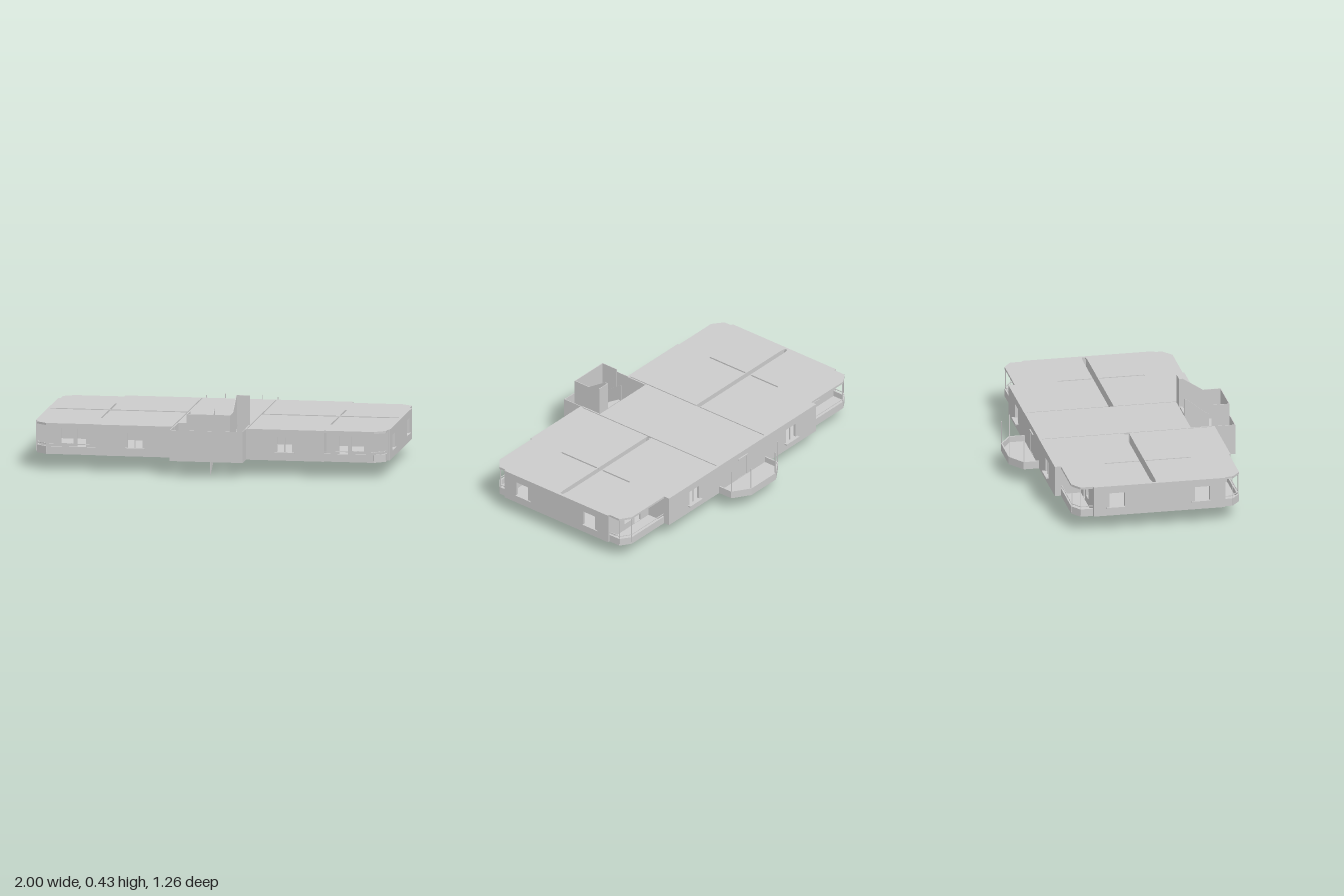
import * as THREE from 'three';

const mat = new THREE.MeshStandardMaterial({ color: 0xcccccc, flatShading: true, side: THREE.DoubleSide });
const Y0 = 0.087, Y1 = 0.26, RAIL = 0.13;

export function createModel() {
  const root = new THREE.Group();
  const add = (name, geo) => {
    const m = new THREE.Mesh(geo, mat);
    m.name = name;
    root.add(m);
    return m;
  };
  const poly = pts => new THREE.Shape(pts.map(p => new THREE.Vector2(p[0], p[1])));

  const box = (name, x0, x1, y0, y1, z0, z1) =>
    add(name, new THREE.BoxGeometry(Math.abs(x1 - x0), y1 - y0, Math.abs(z1 - z0)))
      .position.set((x0 + x1) / 2, (y0 + y1) / 2, (z0 + z1) / 2);

  // Horizontal slab from an (x, z) outline
  const slab = (name, pts, top, t = 0.01) => {
    const g = new THREE.ExtrudeGeometry(poly(pts), { depth: t, bevelEnabled: false });
    g.rotateX(Math.PI / 2);
    add(name, g).position.y = top;
  };

  // Upright wall centred on segment a-b; holes are [from, to, bottom, top] measured from a
  const wall = (name, a, b, y0, y1, t = 0.01, holes = []) => {
    const dx = b[0] - a[0], dz = b[1] - a[1], len = Math.hypot(dx, dz);
    const s = poly([[0, y0], [len, y0], [len, y1], [0, y1]]);
    for (const [l, r, u, v] of holes) s.holes.push(new THREE.Path(poly([[l, u], [l, v], [r, v], [r, u]]).getPoints()));
    const g = new THREE.ExtrudeGeometry(s, { depth: t, bevelEnabled: false });
    g.translate(0, 0, -t / 2);
    const m = add(name, g);
    m.position.set(a[0], 0, a[1]);
    m.rotation.y = -Math.atan2(dz, dx);
  };

  // Thin upright panel across x from a (z, y) outline
  const sidePanel = (name, x, pts, t = 0.004) => {
    const g = new THREE.ExtrudeGeometry(poly(pts), { depth: t, bevelEnabled: false });
    g.rotateY(-Math.PI / 2);
    add(name, g).position.x = x + t / 2;
  };

  // Floor and roof plates, one per room, with slots between them
  for (const [name, top] of [['floor', Y0 + 0.01], ['roof', Y1]]) {
    slab(name + 'Centre', [[-0.205, -0.472], [0.205, -0.472], [0.205, 0.38], [-0.205, 0.38]], top);
    for (const s of [-1, 1]) {
      const plate = (n, pts) => slab(name + n, pts.map(([x, z]) => [s * x, z]), top);
      plate('BackMiddle', [[0.211, -0.478], [0.64, -0.478], [0.64, 0], [0.211, 0]]);
      plate('FrontMiddle', [[0.211, 0.028], [0.64, 0.028], [0.64, 0.514], [0.211, 0.514]]);
      plate('BackEnd', [[0.64, -0.443], [0.92, -0.443], [0.98, -0.4], [0.98, -0.33], [0.992, -0.33],
        [0.992, 0.008], [0.94, 0], [0.65, 0], [0.65, -0.2], [0.64, -0.2]]);
      plate('FrontEnd', [[0.64, 0.505], [0.92, 0.505], [0.98, 0.455], [0.98, 0.41], [0.992, 0.41],
        [0.992, 0.022], [0.94, 0.028], [0.65, 0.028], [0.65, 0.29], [0.64, 0.29]]);
    }
  }

  const W0 = 0.135, W1 = 0.218;
  for (const s of [-1, 1]) {
    const P = (x, z) => [s * x, z];

    // Long facades with one window each and a sill below
    for (const [f, z, zi, dir] of [['front', 0.506, 0.41, 1], ['back', -0.47, -0.325, -1]]) {
      wall(f + 'Wall', P(0.205, z), P(0.64, z), Y0, Y1, 0.016, [[0.172, 0.257, W0, W1]]);
      box(f + 'Sill', s * 0.365, s * 0.475, 0.128, W0, z, z + dir * 0.025);
      box(f + 'WindowBar', s * 0.417, s * 0.423, W0, W1, z - 0.003, z + 0.003);
      wall(f + 'BalconySideWall', P(0.635, zi), P(0.635, z), Y0, Y1);

      // Corner balcony: recessed wall, chamfered parapet, fascia and thin posts
      wall(f + 'BalconyInnerWall', P(0.64, zi), P(0.985, zi), Y0, Y1, 0.012,
        [[0.07, 0.12, 0.1, W1], [0.14, 0.21, W0, W1]]);
      const ze = dir > 0 ? 0.5 : -0.438;
      const path = [P(0.64, ze), P(0.918, ze), P(0.975, dir > 0 ? 0.455 : -0.4), P(0.975, zi)];
      for (let i = 0; i < 3; i++) {
        wall(f + 'BalconyParapet', path[i], path[i + 1], Y0, RAIL);
        wall(f + 'BalconyFascia', path[i], path[i + 1], 0.248, Y1);
        wall(f + 'BalconyRail', path[i], path[i + 1], 0.142, 0.146, 0.004);
      }
      for (const [x, zz] of path.slice(1, 3))
        box(f + 'BalconyPost', x - 0.002, x + 0.002, RAIL, Y1, zz - 0.002, zz + 0.002);
    }

    // End wall with two windows
    wall('endWall', P(0.985, -0.33), P(0.985, 0.41), Y0, Y1, 0.016,
      [[0.09, 0.175, W0, W1], [0.57, 0.655, W0, W1]]);
    for (const z of [-0.205, 0.275]) box('endSill', s * 0.985, s, 0.128, W0, z - 0.052, z + 0.052);

    // Party walls beside the long slot
    for (const z of [-0.004, 0.032]) wall('partyWall', P(0.213, z), P(0.978, z), Y0, Y1, 0.006);
    // Cross walls broken by doorways
    for (const x of [0.2, 0.215, 0.635]) {
      for (const [a, b] of [[-0.465, -0.23], [-0.155, 0], [0.028, 0.24], [0.268, x > 0.3 ? 0.41 : 0.505]])
        wall('crossWall', P(x, a), P(x, b), Y0, Y1, 0.006);
    }

    // Stairwell side wall
    wall('stairwellSideWall', P(0.203, 0.38), P(0.203, 0.63), Y0, Y1, 0.004);
  }

  // Central back wall with door
  wall('backCentreWall', [-0.205, -0.472], [0.205, -0.472], Y0, Y1, 0.01, [[0.165, 0.245, 0.1, 0.222]]);
  box('backDoor', -0.04, 0.04, 0.097, 0.222, -0.475, -0.466);
  box('backDoorFrame', -0.04, 0.04, 0.222, 0.228, -0.484, -0.466);

  // Half-octagon balcony at the back
  const bay = [[-0.2, -0.472], [-0.2, -0.563], [-0.105, -0.626], [0.105, -0.626], [0.2, -0.563], [0.2, -0.472]];
  slab('bayBalconyFloor', bay, Y0 + 0.01);
  for (let i = 0; i < 5; i++) wall('bayBalconyParapet', bay[i], bay[i + 1], Y0, RAIL, 0.008);
  for (const [x, z] of bay.slice(1, 5)) box('bayBalconyPost', x - 0.002, x + 0.002, RAIL, Y1, z - 0.002, z + 0.002);

  // Stairwell enclosure, open at the top and bottom
  wall('stairwellFrontWall', [-0.205, 0.629], [0.205, 0.629], Y0, Y1, 0.004);
  wall('stairwellInnerWall', [-0.205, 0.377], [0.205, 0.377], Y0, Y1, 0.006, [[0.095, 0.335, 0.098, 0.245]]);

  // Two flights joined by a half landing
  const N = 9, rise = 0.085 / N, run = 0.135 / N;
  for (let i = 0; i < N; i++) {
    const up = Y0 + 0.003 + i * rise, za = 0.385 + i * run;
    box('lowerFlightStep', -0.11, 0.003, up - 0.016, up + rise, za, za + run);
    const y2 = 0.175 + i * rise, zb = 0.52 - i * run;
    box('upperFlightStep', 0.017, 0.13, y2 - 0.016, y2 + rise, zb - run, zb);
  }
  box('halfLanding', -0.11, 0.13, 0.163, 0.177, 0.52, 0.613);

  // Balustrades and parapets of the stair
  sidePanel('stairCentreBalustrade', 0.006, [[0.52, 0], [0.4, Y0], [0.385, 0.1], [0.385, 0.35], [0.4, 0.345], [0.525, 0.25]]);
  sidePanel('stairOuterParapet', 0.13,
    [[0.617, 0.163], [0.52, 0.163], [0.38, 0.25], [0.38, 0.425], [0.4, 0.425], [0.515, 0.35], [0.617, 0.35]]);
  sidePanel('stairLandingParapet', -0.11, [[0.617, 0.163], [0.515, 0.163], [0.515, 0.35], [0.617, 0.35]]);
  wall('stairFrontParapet', [-0.112, 0.615], [0.132, 0.615], 0.163, 0.35, 0.004);
  wall('stairHeadParapet', [0.13, 0.382], [0.203, 0.382], Y1, 0.425, 0.004);

  return root;
}
